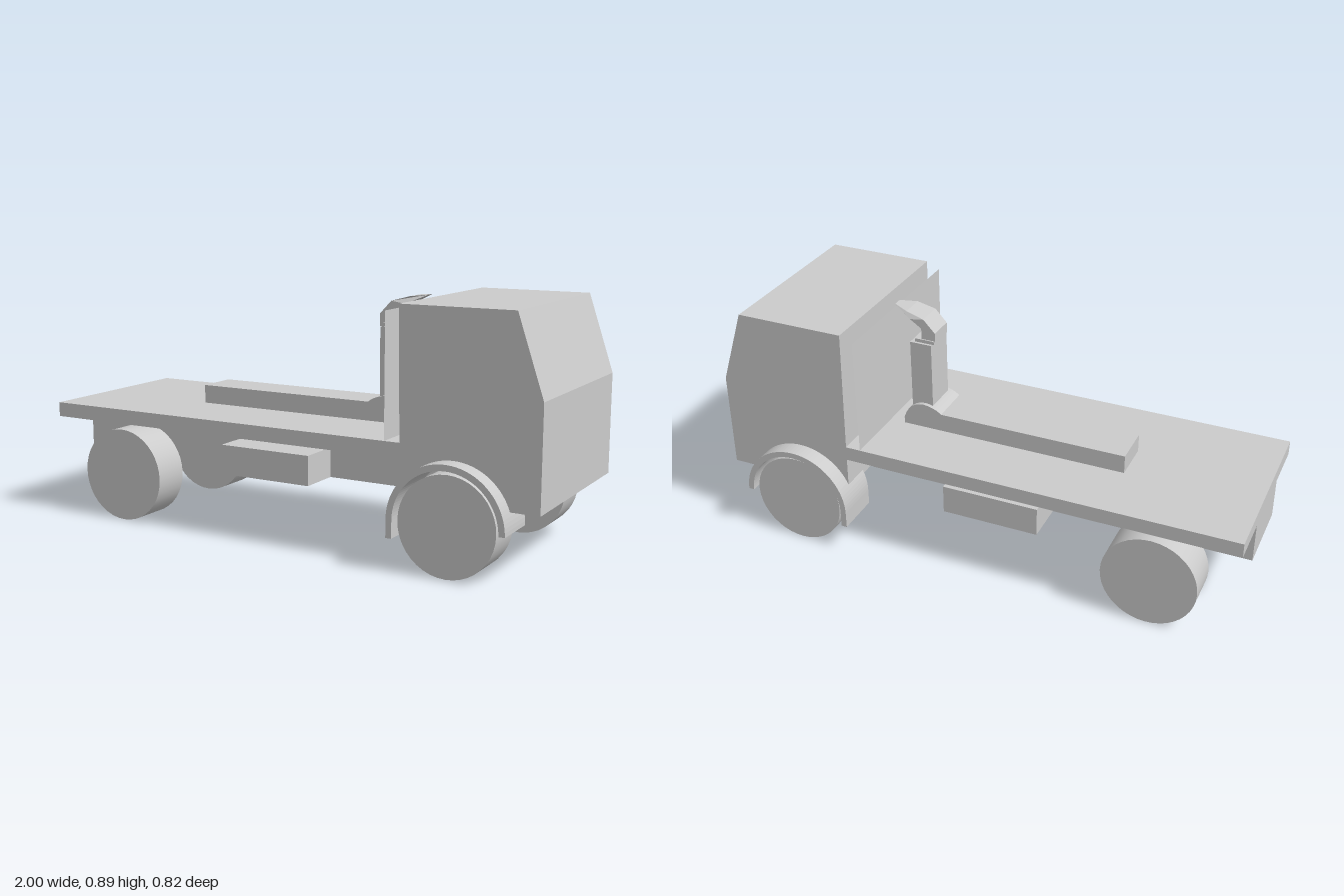
import * as THREE from 'three';

const grey = new THREE.MeshStandardMaterial({ color: 0xcccccc });
const greyThin = new THREE.MeshStandardMaterial({ color: 0xcccccc, side: THREE.DoubleSide });

export function createModel() {
  const truck = new THREE.Group();
  truck.name = 'flatbedTruck';

  const add = (name, geometry, material = grey) => {
    const mesh = new THREE.Mesh(geometry, material);
    mesh.name = name;
    truck.add(mesh);
    return mesh;
  };

  // Box given by its extents on each axis
  const box = (name, [x0, x1], [y0, y1], [z0, z1]) =>
    add(name, new THREE.BoxGeometry(x1 - x0, y1 - y0, z1 - z0))
      .position.set((x0 + x1) / 2, (y0 + y1) / 2, (z0 + z1) / 2);

  // Side profile (x, y) extruded between two z values
  const extrude = (shape, z0, z1, curveSegments = 24) =>
    new THREE.ExtrudeGeometry(shape, { depth: z1 - z0, bevelEnabled: false, curveSegments })
      .translate(0, 0, z0);

  const polygon = (points) => new THREE.Shape(points.map(([x, y]) => new THREE.Vector2(x, y)));

  // Load bed and chassis
  box('loadBed', [-1, 0.5], [0.375, 0.43], [-0.345, 0.345]);
  box('chassis', [-1, 0.5], [0.225, 0.375], [-0.15, 0.15]);

  // Cab with a wheel arch cut through its full width
  const axleX = 0.695, axleY = 0.178, archRadius = 0.205;
  const archStart = Math.asin((0.245 - axleY) / archRadius);
  const cab = polygon([[0.5, 0.245], [0.498, 0.43], [0.49, 0.895], [0.905, 0.895], [1, 0.613], [1, 0.245]]);
  cab.lineTo(axleX + archRadius * Math.cos(archStart), 0.245);
  cab.absarc(axleX, axleY, archRadius, archStart, Math.PI - archStart, false);
  add('cab', extrude(cab, -0.345, 0.345));

  // Thin guard panel standing on the bed behind the cab
  const panel = add('guardPanel', new THREE.PlaneGeometry(0.69, 0.44), greyThin);
  panel.rotation.y = -Math.PI / 2;
  panel.position.set(0.44, 0.65, 0);

  // Mudguard profile: half ring with a longer rear leg
  const outer = 0.213, inner = 0.191;
  const guard = new THREE.Shape();
  guard.moveTo(axleX + inner, axleY);
  guard.lineTo(axleX + outer, axleY);
  guard.absarc(axleX, axleY, outer, 0, Math.PI, false);
  guard.lineTo(axleX - outer, 0.115);
  guard.lineTo(axleX - inner, 0.115);
  guard.absarc(axleX, axleY, inner, Math.PI, 0, true);

  const wheel = (name, x, z, width) => {
    const radius = 0.177;
    add(name, new THREE.CylinderGeometry(radius, radius, width, 40).rotateX(Math.PI / 2))
      .position.set(x, radius, z);
  };

  // Parts mirrored on both sides
  for (const side of [-1, 1]) {
    wheel('frontWheel', axleX, side * 0.322, 0.143);
    wheel('rearWheel', -0.685, side * 0.279, 0.144);
    add('mudguard', side > 0 ? extrude(guard, 0.235, 0.41) : extrude(guard, -0.41, -0.235));
    box('sideTank', [-0.25, 0.12], [0.225, 0.335], side > 0 ? [0.15, 0.31] : [-0.31, -0.15]);
  }

  // Long low housing with a rounded end
  box('housing', [-0.5, 0.23], [0.43, 0.5], [-0.1, 0.06]);
  const dome = polygon([[0.225, 0.43], [0.38, 0.43], [0.38, 0.455]]);
  dome.quadraticCurveTo(0.36, 0.525, 0.295, 0.527);
  dome.quadraticCurveTo(0.25, 0.522, 0.225, 0.5);
  add('housingEnd', extrude(dome, -0.1, 0.06, 6));

  // Intake stack with a collar and a bent, tapering spout
  box('stack', [0.265, 0.35], [0.5, 0.775], [-0.085, 0.045]);
  box('stackCollar', [0.258, 0.335], [0.775, 0.788], [-0.075, 0.035]);
  const spout = extrude(polygon([
    [0.255, 0.785], [0.31, 0.785], [0.31, 0.83], [0.355, 0.86], [0.42, 0.888],
    [0.43, 0.893], [0.37, 0.887], [0.3, 0.868], [0.255, 0.82],
  ]), -0.05, 0.05);
  const p = spout.attributes.position;
  for (let i = 0; i < p.count; i++) {
    const taper = THREE.MathUtils.clamp((p.getX(i) - 0.36) / 0.07, 0, 1);
    p.setZ(i, p.getZ(i) * (1 - 0.65 * taper) - 0.02);
  }
  spout.computeVertexNormals();
  add('spout', spout);

  return truck;
}
